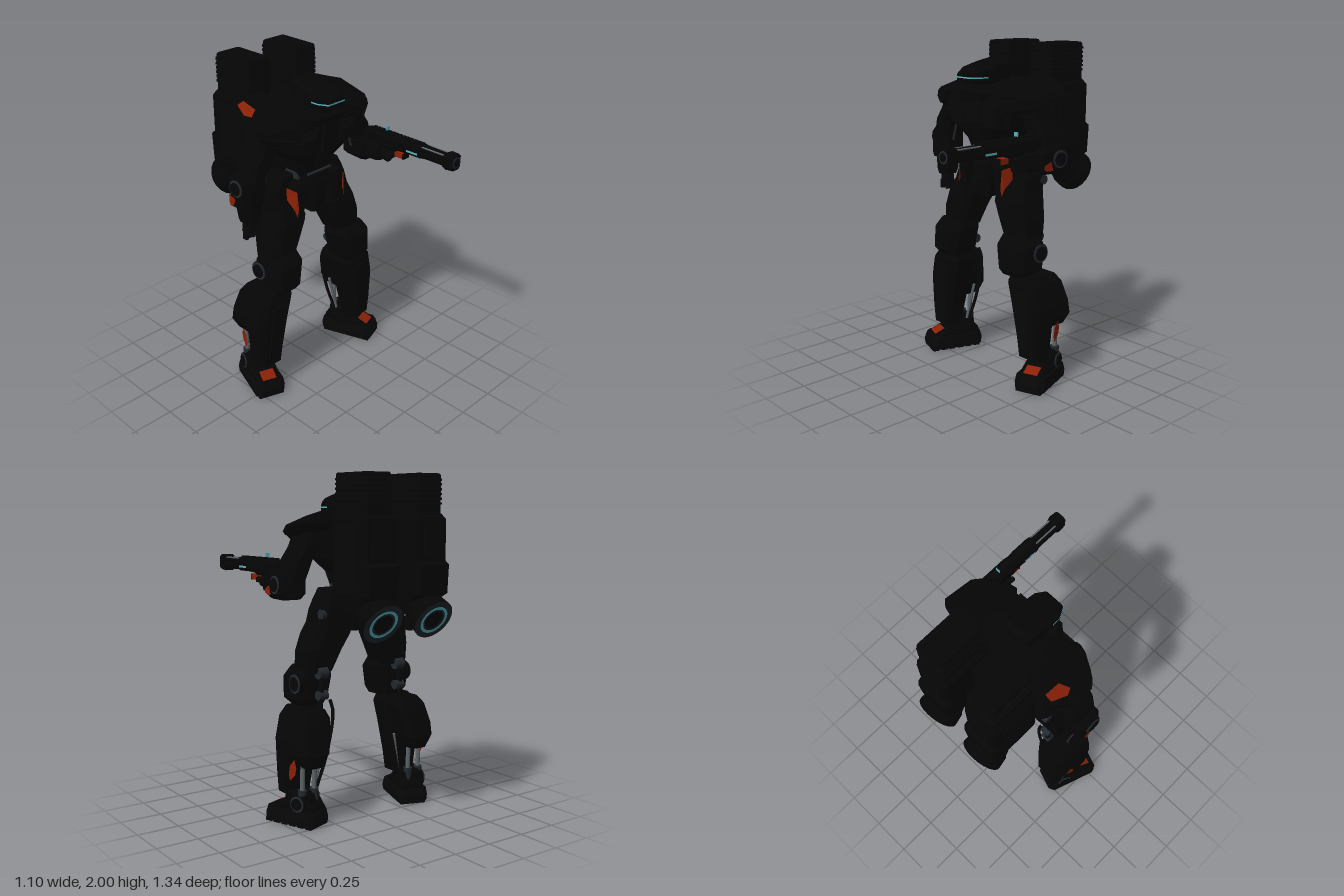
import * as THREE from 'three';

const paint = (name, color) => {
  const m = new THREE.MeshStandardMaterial({ color });
  m.name = name;
  return m;
};

export function createModel() {
  const armor = paint('black armor', 0x050505);
  const panel = paint('soot panel', 0x070707);
  const steel = paint('dark steel', 0x22282e);
  const bright = paint('bright steel', 0x5c6468);
  const orange = paint('burnt orange', 0x8a2007);
  const cyan = paint('cyan glow', 0x58b2be);
  const model = new THREE.Group();
  const V = (x, y, z) => new THREE.Vector3(x, y, z);

  const add = (name, geo, mat, parent = model) => {
    const m = new THREE.Mesh(geo, mat);
    m.name = name;
    parent.add(m);
    return m;
  };
  const group = (name, parent = model) => {
    const g = new THREE.Group();
    g.name = name;
    parent.add(g);
    return g;
  };

  // Chamfered-rectangle loft; sections are [t, x0, x1, v0, v1].
  // Along 'y' v is depth z, along 'z' v is height y. s = -1 mirrors in x.
  function loft(name, mat, secs, { s = 1, axis = 'y', ch = 0.2, parent = model } = {}) {
    const pos = [], idx = [];
    for (const [t, xa, xb, v0, v1] of secs) {
      const x0 = Math.min(s * xa, s * xb), x1 = Math.max(s * xa, s * xb);
      const c = ch * Math.min(x1 - x0, v1 - v0);
      const ring = [[x1, v0 + c], [x1, v1 - c], [x1 - c, v1], [x0 + c, v1],
        [x0, v1 - c], [x0, v0 + c], [x0 + c, v0], [x1 - c, v0]];
      for (const [x, v] of ring) pos.push(...(axis === 'y' ? [x, t, v] : [x, v, t]));
    }
    const tri = (a, b, c) => idx.push(...(axis === 'y' ? [a, b, c] : [a, c, b]));
    const last = (secs.length - 1) * 8;
    for (let k = 0; k < last; k += 8) {
      for (let j = 0; j < 8; j++) {
        const a = k + j, b = k + (j + 1) % 8;
        tri(a, a + 8, b + 8);
        tri(a, b + 8, b);
      }
    }
    for (let j = 1; j < 7; j++) {
      tri(0, j, j + 1);
      tri(last, last + j + 1, last + j);
    }
    let g = new THREE.BufferGeometry();
    g.setAttribute('position', new THREE.Float32BufferAttribute(pos, 3));
    g.setIndex(idx);
    g = g.toNonIndexed();
    g.computeVertexNormals();
    return add(name, g, mat, parent);
  }

  const box = (name, mat, w, h, d, x, y, z, parent) => {
    const m = add(name, new THREE.BoxGeometry(w, h, d), mat, parent);
    m.position.set(x, y, z);
    return m;
  };

  // Cylinder between two points
  function rod(name, mat, a, b, r, parent, r2 = r) {
    const m = add(name, new THREE.CylinderGeometry(r2, r, a.distanceTo(b), 20), mat, parent);
    m.position.copy(a).lerp(b, 0.5);
    m.quaternion.setFromUnitVectors(V(0, 1, 0), b.clone().sub(a).normalize());
    return m;
  }

  // Round joint cap facing along x: steel rim with a dark centre
  function jointCap(name, x, y, z, r, s, parent) {
    rod(name, armor, V(x - s * 0.05, y, z), V(x, y, z), r, parent);
    rod(name + 'Rim', steel, V(x, y, z), V(x + s * 0.006, y, z), r * 0.92, parent);
    rod(name + 'Hub', panel, V(x, y, z), V(x + s * 0.012, y, z), r * 0.7, parent);
  }

  // Thin painted polygon with both windings
  function plate(name, mat, pts, parent) {
    const pos = [];
    for (let i = 1; i < pts.length - 1; i++) {
      for (const p of [pts[0], pts[i], pts[i + 1], pts[0], pts[i + 1], pts[i]]) pos.push(...p);
    }
    const g = new THREE.BufferGeometry();
    g.setAttribute('position', new THREE.Float32BufferAttribute(pos, 3));
    g.computeVertexNormals();
    return add(name, g, mat, parent);
  }

  // Torso, collar and pelvis
  loft('torso', armor, [[1.34, -0.12, 0.12, -0.18, 0], [1.45, -0.15, 0.15, -0.21, 0.04], [1.53, -0.23, 0.23, -0.24, 0.085],
    [1.66, -0.28, 0.28, -0.26, 0.095], [1.74, -0.26, 0.26, -0.26, 0.07], [1.8, -0.18, 0.18, -0.26, -0.06]]);
  loft('breastPlate', panel, [[1.4, -0.05, 0.05, -0.05, 0.04], [1.55, -0.07, 0.07, -0.05, 0.1], [1.68, -0.06, 0.06, -0.05, 0.105]]);
  loft('collar', armor, [[1.68, -0.15, 0.15, -0.2, 0.1], [1.73, -0.16, 0.16, -0.2, 0.12], [1.77, -0.13, 0.13, -0.2, 0.09]]);
  loft('pelvis', armor, [[1.1, -0.04, 0.04, -0.13, 0.01], [1.2, -0.065, 0.065, -0.16, 0.035], [1.3, -0.1, 0.1, -0.19, 0.04], [1.36, -0.12, 0.12, -0.19, 0.02]]);
  rod('waistBar', steel, V(-0.09, 1.365, 0.02), V(0.09, 1.365, 0.02), 0.008);
  loft('packBridge', armor, [[1.35, -0.055, 0.055, -0.41, -0.2], [1.75, -0.055, 0.055, -0.41, -0.2]], { ch: 0.1 });

  // Head
  const head = group('head');
  loft('helmet', armor, [[-0.15, -0.06, 0.06, 1.8, 1.9], [-0.12, -0.088, 0.088, 1.77, 1.92], [0, -0.095, 0.095, 1.77, 1.895],
    [0.1, -0.09, 0.09, 1.78, 1.868], [0.155, -0.062, 0.062, 1.785, 1.842]], { axis: 'z', parent: head });
  loft('jaw', panel, [[1.7, -0.05, 0.05, -0.1, 0.08], [1.78, -0.075, 0.075, -0.11, 0.11]], { parent: head });
  loft('visor', cyan, [[0.05, -0.0935, 0.0935, 1.811, 1.819], [0.1, -0.091, 0.091, 1.811, 1.819], [0.157, -0.0625, 0.0625, 1.811, 1.819]], { axis: 'z', parent: head, ch: 0 });

  for (const s of [1, -1]) {
    const side = s > 0 ? 'left' : 'right';

    // Jet pack pod with ribbed intake and tilted nozzle
    const pod = group(side + 'JetPod');
    const podOpt = { s, parent: pod, ch: 0.08 };
    loft('podBody', armor, [[1.26, 0.08, 0.28, -0.46, -0.27], [1.34, 0.065, 0.292, -0.6, -0.27], [1.5, 0.065, 0.292, -0.61, -0.27],
      [1.52, 0.065, 0.292, -0.58, -0.27], [1.75, 0.065, 0.292, -0.58, -0.27], [1.78, 0.085, 0.27, -0.56, -0.27]], podOpt);
    loft('podIntake', armor, [[1.77, 0.09, 0.265, -0.558, -0.27], [1.99, 0.09, 0.265, -0.558, -0.27], [2, 0.095, 0.26, -0.552, -0.275]], podOpt);
    for (let i = 0; i < 6; i++) {
      const y = 1.83 + i * 0.026;
      loft('intakeRib', panel, [[y, 0.087, 0.269, -0.564, -0.268], [y + 0.012, 0.087, 0.269, -0.564, -0.268]], podOpt);
    }
    box('podBackPanel', panel, 0.13, 0.2, 0.01, s * 0.18, 1.64, -0.583, pod);
    box('podSidePanel', panel, 0.01, 0.32, 0.2, s * 0.292, 1.56, -0.42, pod);

    const nozzle = group('nozzle', pod);
    nozzle.position.set(s * 0.178, 1.197, -0.598);
    nozzle.quaternion.setFromUnitVectors(V(0, 1, 0), V(0, -0.52, -0.854).normalize());
    rod('nozzleNeck', armor, V(0, -0.17, 0), V(0, -0.06, 0), 0.09, nozzle, 0.115);
    rod('nozzleShell', armor, V(0, -0.07, 0), V(0, 0, 0), 0.119, nozzle, 0.125);
    [['nozzleRim', steel, 0.092, 0.124, 0.002], ['nozzleGlow', cyan, 0.071, 0.09, 0.004],
      ['nozzleInnerRing', steel, 0.06, 0.068, 0.003]].forEach(([n, m, r0, r1, y]) => {
      const ring = add(n, new THREE.RingGeometry(r0, r1, 36), m, nozzle);
      ring.rotation.x = -Math.PI / 2;
      ring.position.y = y;
    });

    // Shoulder pad: narrows toward its outer tip and rides higher at the rear
    const arm = group(side + 'Arm');
    const tilt = (z) => -0.25 * (z + 0.09);
    for (const [name, mat, secs] of [
      ['shoulderPad', armor, [[1.66, 0.26, 0.39, -0.24, 0.07], [1.685, 0.22, 0.43, -0.28, 0.1], [1.705, 0.2, 0.445, -0.285, 0.11],
        [1.736, 0.2, 0.42, -0.285, 0.11], [1.764, 0.2, 0.31, -0.28, 0.1], [1.785, 0.18, 0.25, -0.27, 0.05]]],
      ['shoulderTrim', panel, [[1.69, 0.24, 0.44, -0.285, 0.11], [1.7, 0.24, 0.447, -0.29, 0.115]]]]) {
      const geo = loft(name, mat, secs, { s, parent: arm }).geometry;
      const p = geo.attributes.position;
      for (let i = 0; i < p.count; i++) {
        const k = 1 - 0.4 * THREE.MathUtils.clamp((Math.abs(p.getX(i)) - 0.27) / 0.17, 0, 1);
        const z = -0.17 + (p.getZ(i) + 0.17) * k;
        p.setZ(i, z);
        p.setY(i, p.getY(i) + tilt(z));
      }
      geo.computeVertexNormals();
    }
    if (s < 0) {
      const mark = [[0.37, -0.25], [0.325, -0.25], [0.325, -0.15], [0.38, -0.12], [0.4, -0.16]];
      plate('shoulderMark', orange, mark.map(([x, z]) => [-x, 1.769 - (x - 0.31) * 0.255 + tilt(z), z]), arm);
    }

    // Upper arm with hydraulic line
    loft('upperArm', armor, [[1.39, 0.385, 0.5, -0.17, -0.01], [1.52, 0.335, 0.468, -0.18, 0], [1.6, 0.29, 0.41, -0.18, 0], [1.69, 0.27, 0.38, -0.17, -0.01]], { s, parent: arm });
    rod('armPiston', steel, V(s * 0.3, 1.57, -0.06), V(s * 0.355, 1.39, -0.06), 0.007, arm);
    rod('shoulderJoint', panel, V(s * 0.22, 1.63, -0.09), V(s * 0.3, 1.63, -0.09), 0.06, arm);

    // Forearm hangs from the elbow; the left one is raised forward and turned in
    const fore = group('forearm', arm);
    fore.position.set(s * 0.452, 1.39, -0.09);
    if (s > 0) fore.rotation.set(-Math.PI / 2, 0, -0.08);
    const foreOpt = { s, parent: fore };
    loft('forearmGuard', armor, [[-0.12, -0.07, 0.082, -0.08, 0.065], [-0.09, -0.085, 0.084, -0.085, 0.075], [0.04, -0.085, 0.085, -0.085, 0.075], [0.065, -0.06, 0.07, -0.07, 0.06]], foreOpt);
    loft('forearmLower', armor, [[-0.23, -0.045, 0.04, -0.05, 0.05], [-0.2, -0.055, 0.045, -0.06, 0.06], [-0.11, -0.065, 0.06, -0.065, 0.06]], foreOpt);
    jointCap('elbowCap', s * 0.085, 0, 0, 0.055, s, fore);
    plate('forearmMark', orange, [[-0.066, -0.005], [-0.116, -0.028], [-0.116, -0.05], [-0.095, -0.06], [-0.05, -0.06]]
      .map(([y, z]) => [s * 0.0875, y, z]), fore);
    loft('palm', panel, [[-0.285, -0.045, 0.04, -0.03, 0.03], [-0.225, -0.035, 0.035, -0.03, 0.03]], foreOpt);
    for (let i = 0; i < 4; i++) box('finger', panel, 0.018, 0.055, 0.03, -0.036 + i * 0.024, -0.303 + 0.006 * (i % 2), 0.008, fore);
    box('thumb', panel, 0.02, 0.05, 0.025, -s * 0.035, -0.265, 0.025, fore);

    // Chest plates and vents
    for (let i = 0; i < 3; i++) box('chestVent', panel, 0.11, 0.008, 0.02, s * 0.15, 1.625 + i * 0.018, 0.1);
    loft('chestPlate', panel, [[1.54, 0.08, 0.2, 0, 0.092], [1.61, 0.08, 0.23, 0, 0.1]], { s });

    // Leg: hip, thigh and knee
    const leg = group(side + 'Leg');
    const legOpt = { s, parent: leg, ch: 0.17 };
    rod('hipJoint', steel, V(s * 0.08, 1.34, -0.08), V(s * 0.13, 1.34, -0.08), 0.055, leg);
    loft('thigh', armor, [[0.88, 0.19, 0.36, -0.165, 0.03], [1, 0.135, 0.355, -0.19, 0.035], [1.1, 0.085, 0.325, -0.215, 0.03],
      [1.17, 0.085, 0.305, -0.225, -0.005], [1.24, 0.1, 0.308, -0.23, -0.04], [1.3, 0.11, 0.28, -0.23, -0.045], [1.36, 0.13, 0.24, -0.2, -0.05]], legOpt);
    loft('hipSkirt', armor, [[1.1, 0.14, 0.18, -0.06, 0.035], [1.3, 0.11, 0.188, -0.1, 0.042], [1.33, 0.12, 0.18, -0.1, 0.03]], legOpt);
    plate('hipMark', orange, [[0.191, 1.29, 0.035], [0.212, 1.305, -0.032], [0.214, 1.23, -0.03], [0.2, 1.17, 0.025], [0.192, 1.13, 0.036], [0.186, 1.18, 0.042]]
      .map(([x, y, z]) => [s * x, y, z]), leg);
    rod('thighBolt', steel, V(s * 0.26, 1.22, -0.195), V(s * 0.309, 1.22, -0.195), 0.028, leg);
    loft('knee', armor, [[0.68, 0.21, 0.36, -0.1, 0.06], [0.72, 0.195, 0.4, -0.13, 0.09], [0.85, 0.17, 0.405, -0.14, 0.085], [0.91, 0.19, 0.37, -0.13, 0.05]], legOpt);
    jointCap('kneeCap', s * 0.405, 0.815, -0.075, 0.06, s, leg);
    for (const [y, r] of [[0.88, 0.034], [0.75, 0.028]]) rod('kneePivot', steel, V(s * 0.25, y, -0.165), V(s * 0.31, y, -0.165), r, leg);
    rod('kneePiston', panel, V(s * 0.28, 0.88, -0.17), V(s * 0.3, 0.64, -0.17), 0.016, leg);

    // Shin, calf and ankle hydraulics
    loft('shin', armor, [[0.18, 0.315, 0.475, -0.1, 0.02], [0.3, 0.3, 0.482, -0.12, 0.03], [0.5, 0.26, 0.487, -0.14, 0.04],
      [0.63, 0.23, 0.457, -0.14, 0.045], [0.68, 0.25, 0.42, -0.12, 0.03]], legOpt);
    loft('shinPlate', panel, [[0.24, 0.34, 0.44, 0, 0.036], [0.6, 0.28, 0.41, 0, 0.052]], legOpt);
    loft('calf', armor, [[0.355, 0.33, 0.44, -0.26, -0.06], [0.43, 0.29, 0.482, -0.285, -0.04], [0.5, 0.27, 0.488, -0.27, -0.04],
      [0.62, 0.25, 0.46, -0.235, -0.04], [0.67, 0.27, 0.42, -0.205, -0.05]], legOpt);
    plate('calfMark', orange, [[0.4, -0.165], [0.36, -0.13], [0.31, -0.12], [0.27, -0.13], [0.31, -0.17], [0.35, -0.18]]
      .map(([y, z]) => [s * (0.481 + (z + 0.12) * 0.22), y, z]), leg);
    for (const x of [0.35, 0.43]) {
      rod('anklePiston', bright, V(s * x, 0.13, -0.18), V(s * x, 0.4, -0.19), 0.014, leg);
      rod('ankleSleeve', steel, V(s * x, 0.13, -0.18), V(s * x, 0.22, -0.185), 0.026, leg);
    }
    const hose = new THREE.CatmullRomCurve3([[0.2, 0.71, -0.13], [0.193, 0.64, -0.15], [0.245, 0.4, -0.16], [0.308, 0.19, -0.14]]
      .map(([x, y, z]) => V(s * x, y, z)));
    add('legHose', new THREE.TubeGeometry(hose, 20, 0.01, 8), panel, leg);
    rod('innerPiston', bright, V(s * 0.315, 0.2, -0.13), V(s * 0.265, 0.44, -0.15), 0.009, leg);

    // Foot turned outward
    const foot = group('foot', leg);
    foot.position.set(s * 0.41, 0, -0.075);
    foot.rotation.y = s * 0.34;
    loft('sole', panel, [[0.012, -0.094, 0.094, -0.185, 0.163], [0.05, -0.096, 0.096, -0.19, 0.165], [0.095, -0.09, 0.09, -0.18, 0.15]], { parent: foot, ch: 0.16 });
    for (let i = 0; i < 6; i++) box('tread', armor, 0.16, 0.02, 0.04, 0, 0.01, -0.15 + i * 0.057, foot);
    loft('instep', armor, [[-0.17, -0.065, 0.065, 0.04, 0.12], [-0.12, -0.08, 0.08, 0.04, 0.18], [0, -0.082, 0.082, 0.04, 0.16],
      [0.06, -0.078, 0.078, 0.04, 0.135], [0.145, -0.07, 0.07, 0.04, 0.095]], { axis: 'z', parent: foot });
    loft('ankle', armor, [[0.1, -0.07, 0.07, -0.15, 0.05], [0.19, -0.078, 0.078, -0.14, 0.03], [0.21, -0.06, 0.06, -0.12, 0.02]], { parent: foot });
    jointCap('ankleCap', s * 0.085, 0.14, -0.08, 0.05, s, foot);
    plate('toeMark', orange, [[-0.045, 0.137, 0.066], [0.045, 0.137, 0.066], [0.045, 0.108, 0.128], [-0.045, 0.108, 0.128]], foot);
  }

  // Rifle held in the left hand
  const gun = group('rifle');
  const gx = 0.437;
  const part = (name, mat, secs) => loft(name, mat, secs.map(([z, w, y0, y1]) => [z, gx - w, gx + w, y0, y1]), { axis: 'z', parent: gun });
  part('receiver', armor, [[0, 0.035, 1.44, 1.51], [0.04, 0.042, 1.425, 1.52], [0.24, 0.042, 1.425, 1.52], [0.28, 0.035, 1.44, 1.518]]);
  part('barrelShroud', armor, [[0.27, 0.036, 1.435, 1.518], [0.32, 0.041, 1.44, 1.518], [0.43, 0.041, 1.44, 1.518], [0.46, 0.034, 1.445, 1.515], [0.61, 0.034, 1.445, 1.512]]);
  part('muzzle', armor, [[0.6, 0.036, 1.435, 1.52], [0.62, 0.042, 1.43, 1.53], [0.67, 0.038, 1.435, 1.528]]);
  rod('muzzleRing', steel, V(gx, 1.48, 0.66), V(gx, 1.48, 0.673), 0.034, gun);
  rod('bore', panel, V(gx, 1.48, 0.66), V(gx, 1.48, 0.675), 0.024, gun);
  for (const d of [-1, 1]) {
    rod('barrelRail', bright, V(gx + d * 0.024, 1.512, 0.44), V(gx + d * 0.024, 1.512, 0.6), 0.005, gun);
    box('energyStripe', cyan, 0.005, 0.012, 0.08, gx + d * 0.0395, 1.465, 0.38, gun);
  }
  for (let i = 0; i < 14; i++) box('railTooth', panel, 0.03, 0.016, 0.02, gx, 1.52, 0.06 + i * 0.028, gun);
  box('sightLens', cyan, 0.028, 0.024, 0.004, gx, 1.543, 0.16, gun);
  box('foregripMark', orange, 0.05, 0.032, 0.06, gx, 1.41, 0.27, gun);
  box('foregripCover', armor, 0.052, 0.036, 0.008, gx, 1.41, 0.304, gun);
  box('grip', panel, 0.035, 0.1, 0.045, gx, 1.39, 0.17, gun).rotation.x = 0.25;

  return model;
}
